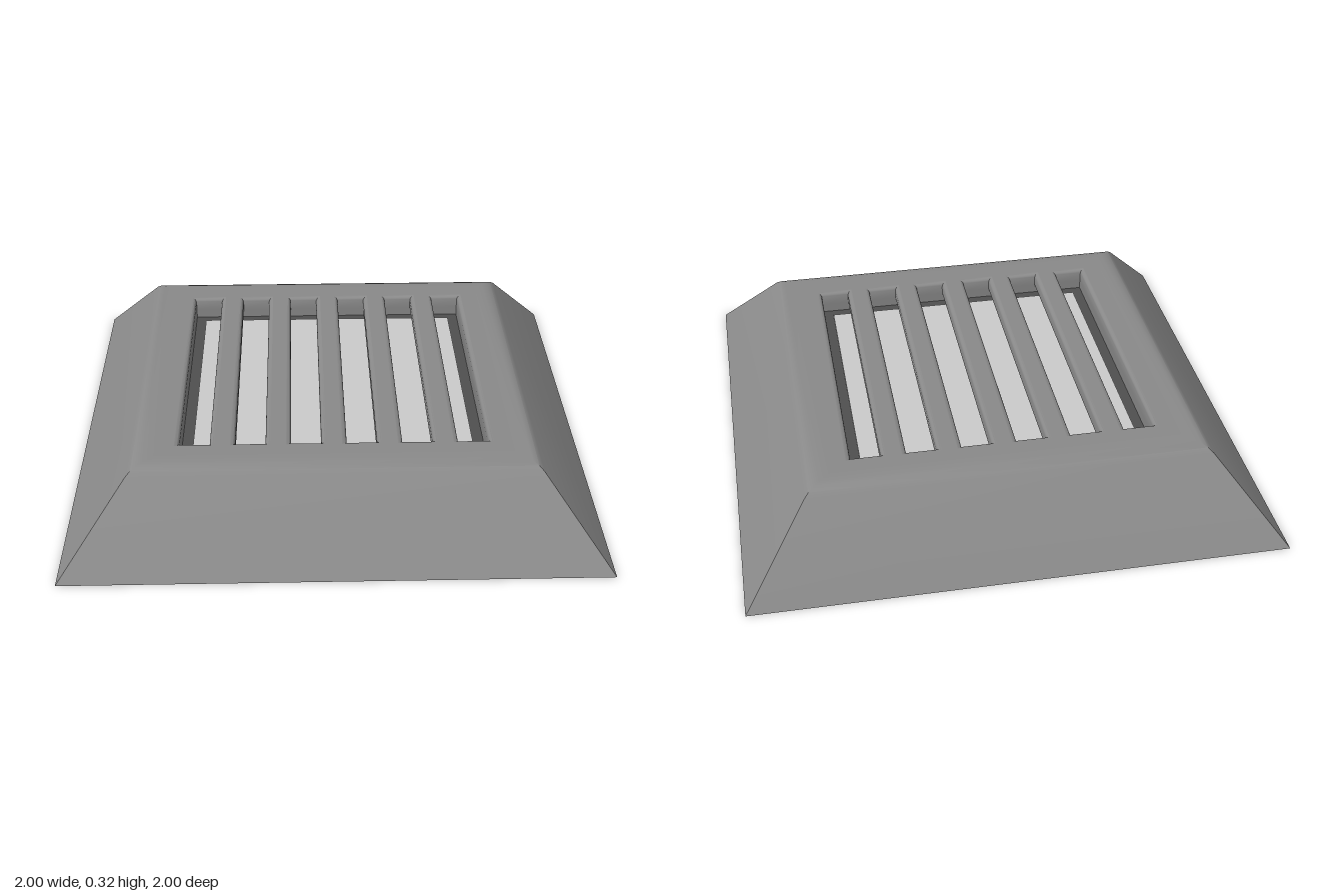
import * as THREE from 'three';
import { toCreasedNormals } from 'three/addons/utils/BufferGeometryUtils.js';

const TOP = 0.32, UNDER = 0.27, LIP = 0.018;
const SLOT_X = 0.056, SLOT_Z = 0.577, PITCH = 0.2064;
const slotCentres = [-2.5, -1.5, -0.5, 0.5, 1.5, 2.5].map(i => i * PITCH);

// Skin through rectangular rings [halfX, halfZ, y], listed from outside inwards
function ringLoft(rings) {
  const pos = [];
  const corner = ([hx, hz, y], i) => [[hx, y, hz], [hx, y, -hz], [-hx, y, -hz], [-hx, y, hz]][i % 4];
  for (let r = 0; r < rings.length - 1; r++) {
    for (let i = 0; i < 4; i++) {
      const a = corner(rings[r], i), b = corner(rings[r], i + 1);
      const c = corner(rings[r + 1], i + 1), d = corner(rings[r + 1], i);
      pos.push(...a, ...b, ...c, ...a, ...c, ...d);
    }
  }
  const geo = new THREE.BufferGeometry();
  geo.setAttribute('position', new THREE.Float32BufferAttribute(pos, 3));
  return toCreasedNormals(geo, THREE.MathUtils.degToRad(32));
}

function rectangle(path, cx, hx, hz) {
  path.moveTo(cx - hx, -hz);
  path.lineTo(cx + hx, -hz);
  path.lineTo(cx + hx, hz);
  path.lineTo(cx - hx, hz);
  path.closePath();
  return path;
}

// Flat square with six slots, facing up
function slottedPlate(half, hx, hz) {
  const shape = rectangle(new THREE.Shape(), 0, half, half);
  for (const cx of slotCentres) shape.holes.push(rectangle(new THREE.Path(), cx, hx, hz));
  return new THREE.ShapeGeometry(shape).rotateX(-Math.PI / 2);
}

export function createModel() {
  const group = new THREE.Group();
  const bodyMat = new THREE.MeshStandardMaterial({ color: 0x8a8a8a });
  const darkMat = new THREE.MeshStandardMaterial({ color: 0x4f4f4f });
  const panelMat = new THREE.MeshStandardMaterial({ color: 0xcccccc });

  const add = (name, geo, mat, x = 0, y = 0) => {
    const mesh = new THREE.Mesh(geo, mat);
    mesh.name = name;
    mesh.position.set(x, y, 0);
    group.add(mesh);
    return mesh;
  };

  // Sloping sides with a rounded shoulder
  const profile = [[1, 0], [0.755, 0.294], [0.738, 0.308], [0.718, 0.316], [0.695, TOP], [0.66, TOP]];
  add('slopedSides', ringLoft(profile.map(([h, y]) => [h, h, y])), bodyMat);

  // Slotted top and its underside
  add('slottedTop', slottedPlate(0.66, SLOT_X + LIP, SLOT_Z + LIP), bodyMat, 0, TOP);
  add('grilleUnderside', slottedPlate(0.66, SLOT_X, SLOT_Z).rotateX(Math.PI), bodyMat, 0, UNDER);

  // Rounded lip and inner walls of each slot
  const lip = [];
  for (let i = 0; i <= 5; i++) {
    const a = (i / 5) * Math.PI / 2;
    const out = LIP * (1 - Math.sin(a));
    lip.push([SLOT_X + out, SLOT_Z + out, TOP - LIP * (1 - Math.cos(a))]);
  }
  lip.push([SLOT_X, SLOT_Z, UNDER]);
  const slotGeo = ringLoft(lip);
  for (const cx of slotCentres) add('slotEdge', slotGeo, bodyMat, cx);

  // Cavity walls beneath the grille
  const cavityX = 2.5 * PITCH + SLOT_X;
  add('cavityWalls', ringLoft([[cavityX, SLOT_Z, UNDER], [cavityX, SLOT_Z, 0.2]]), bodyMat);

  // Dark housing with a pale panel behind the bars
  add('panelHousing', new THREE.BoxGeometry(1.2, 0.2, 1.2), darkMat, 0, 0.132);
  add('panel', new THREE.BoxGeometry(1.06, 0.02, 1.06), panelMat, 0, 0.23);

  // Closed base
  add('base', new THREE.PlaneGeometry(2, 2).rotateX(Math.PI / 2), bodyMat);

  return group;
}
